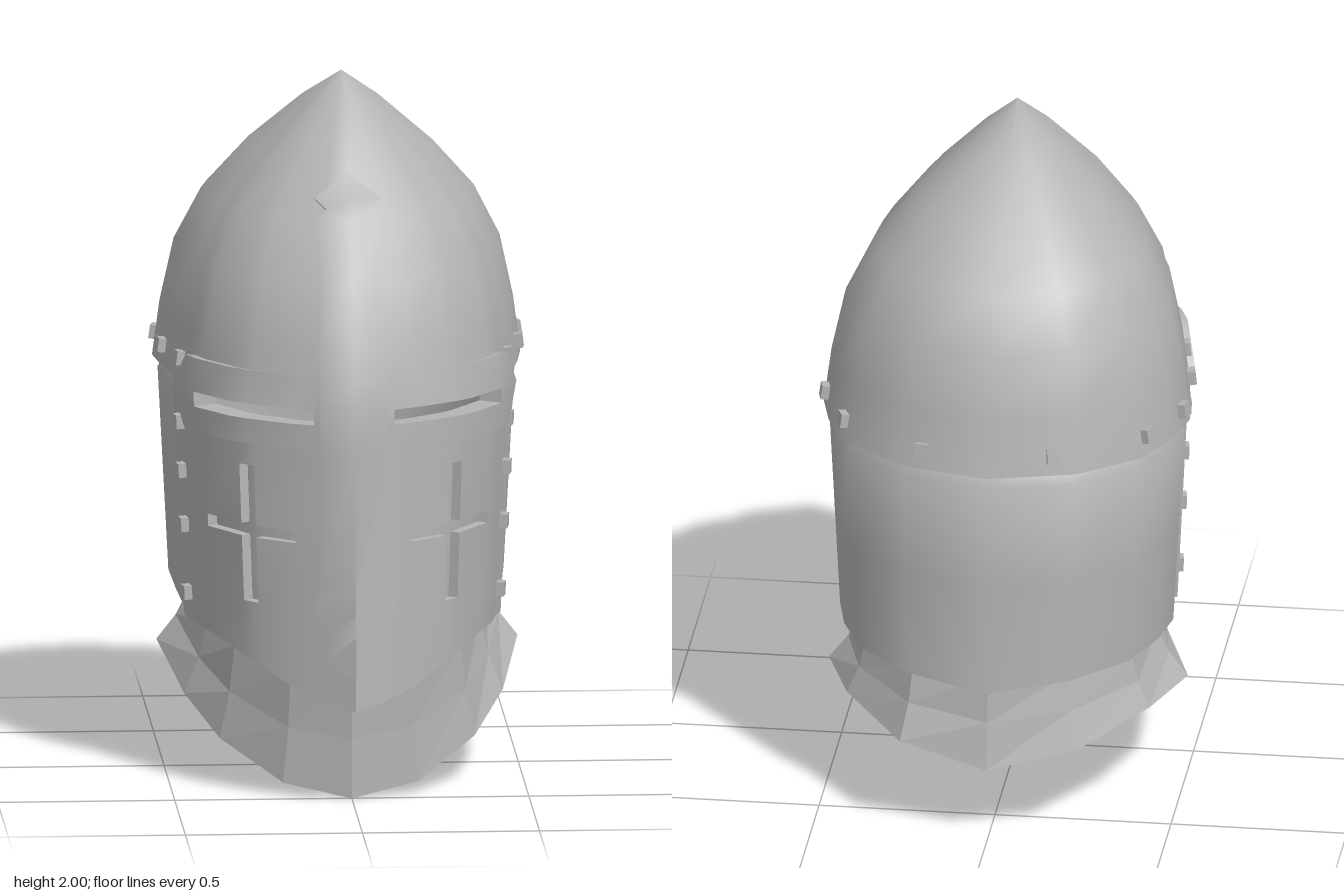
import * as THREE from 'three';
import { toCreasedNormals } from 'three/addons/utils/BufferGeometryUtils.js';

const steel = new THREE.MeshStandardMaterial({ color: 0xb4b4b4, side: THREE.DoubleSide });
steel.name = 'steel';

// Half outline of the helmet at brow height, [x, z] from nose ridge to nape
const OUTLINE = [[0, .645], [.1, .59], [.17, .555], [.28, .475], [.32, .435], [.41, .3], [.44, .22], [.465, .1],
  [.48, .06], [.505, -.1], [.52, -.24], [.49, -.37], [.42, -.52], [.25, -.655], [0, -.72]];
// [height, width scale, front depth scale, back depth scale]
const PROFILE = [[.25, .915, 1.08, 1.03], [.45, .93, 1.06, 1.015], [1.14, 1, 1, .99], [1.3, .96, .93, .95],
  [1.48, .885, .81, .895], [1.63, .74, .6, .77], [1.77, .51, .44, .57], [1.91, .22, .2, .28], [2, 0, 0, 0]];
const HALF = OUTLINE.length - 1;
const lerp = THREE.MathUtils.lerp;

// Point on the helmet surface: u counts outline points (negative on the right side)
function surface(u, y) {
  const w = ((u + HALF) % (2 * HALF) + 2 * HALF) % (2 * HALF) - HALF;
  const a = Math.min(Math.floor(Math.abs(w)), HALF - 1), f = Math.abs(w) - a;
  const x = Math.sign(w) * lerp(OUTLINE[a][0], OUTLINE[a + 1][0], f);
  const z = lerp(OUTLINE[a][1], OUTLINE[a + 1][1], f);
  let k = 0;
  while (k < PROFILE.length - 2 && y > PROFILE[k + 1][0]) k++;
  const p = PROFILE[k], q = PROFILE[k + 1], t = (y - p[0]) / (q[0] - p[0]);
  return new THREE.Vector3(x * lerp(p[1], q[1], t), y, z * (z > 0 ? lerp(p[2], q[2], t) : lerp(p[3], q[3], t)));
}

function normalAt(u, y) {
  const e = .02;
  const du = surface(u + e, y).sub(surface(u - e, y));
  const dy = surface(u, Math.min(2, y + e)).sub(surface(u, y - e));
  const n = du.cross(dy);
  return n.length() < 1e-9 ? new THREE.Vector3(0, 1, 0) : n.normalize();
}
const offset = (u, y, d) => surface(u, y).addScaledVector(normalAt(u, y), d);

function meshFrom(name, pos, crease) {
  let g = new THREE.BufferGeometry();
  g.setAttribute('position', new THREE.Float32BufferAttribute(pos, 3));
  if (crease) g = toCreasedNormals(g, crease);
  else g.computeVertexNormals();
  const m = new THREE.Mesh(g, steel);
  m.name = name;
  return m;
}

function quad(pos, a, b, c, d) {
  for (const [p, q, r] of [[a, b, c], [a, c, d]]) {
    const area = q.clone().sub(p).cross(r.clone().sub(p)).length();
    if (area > 1e-8) for (const v of [p, q, r]) pos.push(v.x, v.y, v.z);
  }
}

// Thick plate wrapped on the surface. node(i, j) gives [u, y, outer offset];
// cells where keep() is false are left open and walled round.
function plate(name, cols, rows, node, inner, keep = () => true, closed = false) {
  const out = [], inn = [], pos = [];
  for (let i = 0; i <= cols; i++) {
    out.push([]); inn.push([]);
    for (let j = 0; j <= rows; j++) {
      const [u, y, d] = node(i, j);
      out[i].push(offset(u, y, d));
      inn[i].push(offset(u, y, inner));
    }
  }
  const solid = (i, j) => {
    if (closed) i = (i + cols) % cols;
    return i >= 0 && i < cols && j >= 0 && j < rows && keep(i, j);
  };
  for (let i = 0; i < cols; i++) for (let j = 0; j < rows; j++) {
    if (!solid(i, j)) continue;
    const c = [[i, j], [i + 1, j], [i + 1, j + 1], [i, j + 1]];
    const o = c.map(([a, b]) => out[a][b]), n = c.map(([a, b]) => inn[a][b]);
    quad(pos, ...o);
    quad(pos, n[3], n[2], n[1], n[0]);
    [[i, j - 1], [i + 1, j], [i, j + 1], [i - 1, j]].forEach(([a, b], k) => {
      const l = (k + 1) % 4;
      if (!solid(a, b)) quad(pos, n[k], n[l], o[l], o[k]);
    });
  }
  return meshFrom(name, pos, 1);
}

export function createModel() {
  const model = new THREE.Group();
  model.name = 'helmet';

  // Dome and face in one shell, pierced by eye slits and breathing crosses
  const hem = [.29, .31, .335, .39, .41, .45, .45, .45, .45];
  const ys = [0, .57, .755, .79, .96, 1.1, 1.14, 1.3, 1.48, 1.63, 1.77, 1.91, 2];
  model.add(plate('domeAndFace', 2 * HALF, ys.length - 1, (i, j) => {
    const u = i - HALF;
    return [u, j ? ys[j] : hem[Math.min(8, Math.abs(u))], 0];
  }, -.04, (i, j) => {
    const m = Math.abs(i - HALF + .5);
    if (j >= 6) return true;
    if (m > 8) return false;
    if (j === 5) return !(m > 1 && m < 5);
    if (j === 2) return !(m > 2 && m < 5);
    return !((j === 1 || j === 3) && m > 3 && m < 4);
  }, true));

  // Recessed neck guard at the back
  const backU = [8, 8.25, 9, 10, 11, 12, 13, 14, 15, 16, 17, 18, 19, 19.75, 20];
  const backHem = [.45, .455, .485, .52, .515, .51, .5, .475];
  const backY = [0, .8, 1.105, 1.15];
  model.add(plate('backPlate', 14, 3, (i, j) => [
    backU[i], j ? backY[j] : backHem[Math.min(i, 14 - i)],
    j === 3 || i === 0 || i === 14 ? -.038 : -.014,
  ], -.055));

  // Raised vertical bar of the face cross: [height, half width, thickness]
  const bar = [[.385, 0], [.43, .065], [.505, .045], [.57, .105], [.65, .08], [1.02, .085], [1.14, .088], [1.22, .09],
    [1.3, .085], [1.48, .075], [1.63, .085], [1.655, .055], [1.685, .1, .018], [1.76, 0, .003]];
  model.add(plate('noseBar', 2, bar.length - 1, (i, j) => {
    const [y, x, t = .03] = bar[j];
    return [(i - 1) * x / (.1 * surface(10, y).x / .52), y, t];
  }, -.006));

  // Pointed brow arms with the eye slits, and floors of the breathing crosses
  const armU = [.85, 1, 2, 3, 4, 5, 5.85, 6.7];
  const floorU = [1.9, 2, 3, 4, 5, 5.1];
  for (const s of [1, -1]) {
    const side = s > 0 ? 'left' : 'right';
    model.add(plate(side + 'BrowArm', 7, 3, (i, j) => {
      const k = s > 0 ? i : 7 - i;
      const y = k === 7 ? 1.13 : [1.03, 1.1, 1.14, 1.23][j];
      return [s * armU[k], y, .03];
    }, -.006, (i, j) => {
      const k = s > 0 ? i : 6 - i;
      return !(j === 1 && k >= 1 && k < 5);
    }));
    model.add(plate(side + 'BreathFloor', 5, 1, (i, j) =>
      [s * floorU[s > 0 ? i : 5 - i], j ? .98 : .55, -.03], -.036));
  }

  // Rivets around the brow and down the face edges: [u, height]
  const rivets = [[6.85, 1.2], [8.87, 1.2], [10.45, 1.195], [11.85, 1.2], [13.25, 1.195],
    [6.85, 1.02], [6.85, .88], [6.85, .725], [6.85, .53]];
  const rivetShape = new THREE.BoxGeometry(.038, .04, .045);
  for (const s of [1, -1]) for (const [u, y] of rivets) {
    const r = new THREE.Mesh(rivetShape, steel);
    r.name = 'rivet';
    r.position.copy(surface(s * u, y));
    r.lookAt(offset(s * u, y, 1));
    model.add(r);
  }

  // Faceted flaring collar, closed below by a shallow fan
  const rim = [[0, .005, .505], [.19, .04, .44], [.36, .14, .29], [.45, .235, .11], [.51, .33, -.2],
    [.43, .33, -.43], [.25, .29, -.66], [0, .23, -.695]];
  const neck = [[0, .35, .515], [.17, .36, .46], [.32, .41, .31], [.385, .44, .11], [.42, .47, -.2],
    [.38, .48, -.42], [.22, .5, -.6], [0, .5, -.655]];
  const ring = f => {
    const half = rim.map((p, i) => f(new THREE.Vector3(...p), new THREE.Vector3(...neck[i])));
    const other = half.slice(1, -1).reverse().map(v => new THREE.Vector3(-v.x, v.y, v.z));
    return [...half, ...other];
  };
  const rings = [
    ring(r => r),
    ring((r, n) => r.lerp(n, .5).multiply(new THREE.Vector3(.98, 1, .99))),
    ring((r, n) => n),
    ring((r, n) => n.multiply(new THREE.Vector3(.95, 1, .95)).add(new THREE.Vector3(0, .15, 0))),
  ];
  const pos = [], count = rings[0].length, centre = new THREE.Vector3(0, .15, -.09);
  for (let i = 0; i < count; i++) {
    const k = (i + 1) % count;
    for (let j = 0; j < 3; j++) quad(pos, rings[j][i], rings[j][k], rings[j + 1][k], rings[j + 1][i]);
    quad(pos, rings[0][k], rings[0][i], centre, centre);
  }
  model.add(meshFrom('collar', pos, 0));
  return model;
}
